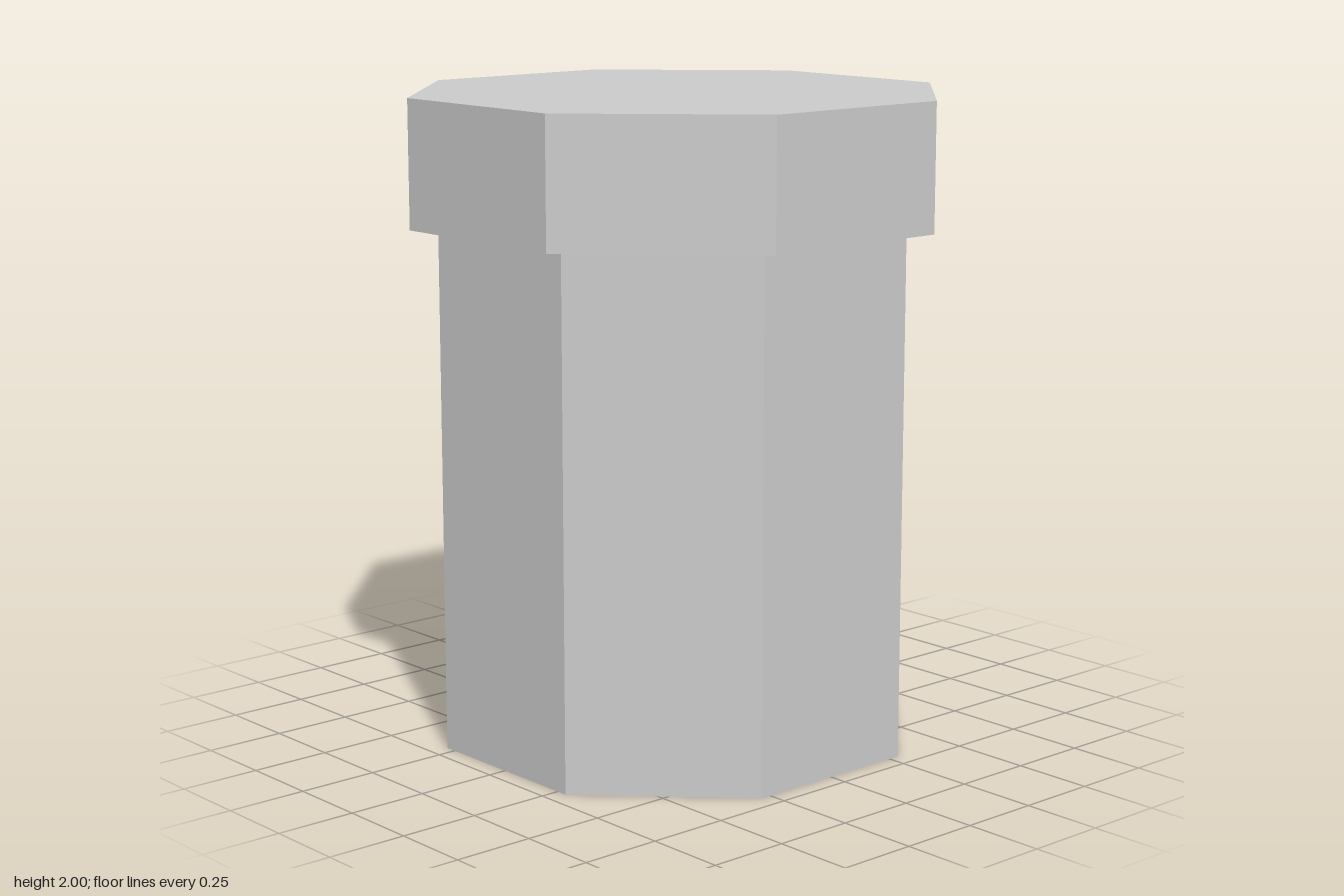
import * as THREE from 'three';

export function createModel() {
  const group = new THREE.Group();
  const material = new THREE.MeshStandardMaterial({ color: 0xcccccc, flatShading: true });

  // Upright octagonal prism with flat sides facing the axes
  function octagon(name, apothem, bottom, top) {
    const radius = apothem / Math.cos(Math.PI / 8);
    const geometry = new THREE.CylinderGeometry(radius, radius, top - bottom, 8);
    geometry.rotateY(Math.PI / 8);
    geometry.translate(0, (bottom + top) / 2, 0);
    const mesh = new THREE.Mesh(geometry, material);
    mesh.name = name;
    group.add(mesh);
  }

  octagon('body', 0.692, 0, 1.61);
  octagon('cap', 0.772, 1.61, 2);

  return group;
}
